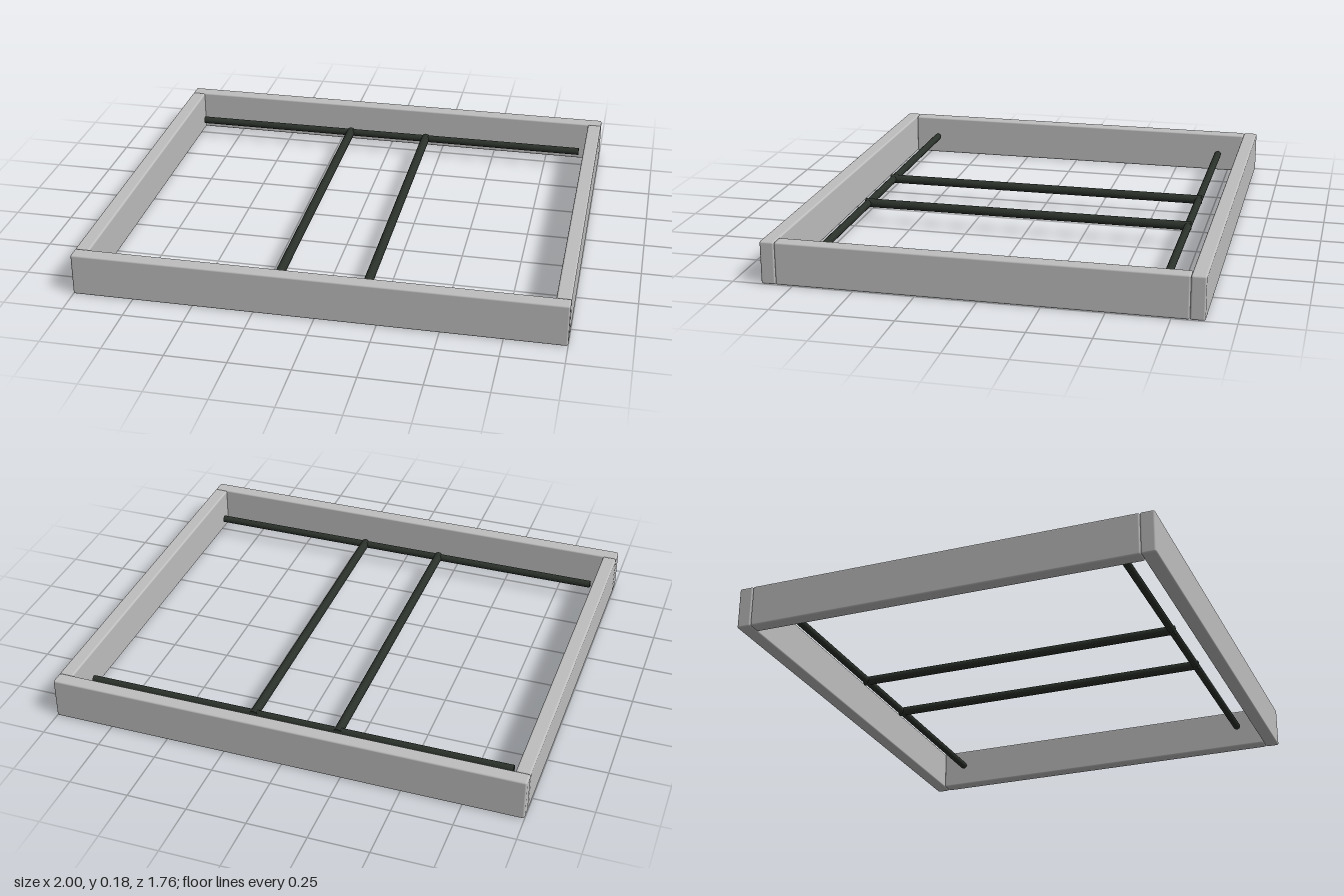
import * as THREE from 'three';
import { RoundedBoxGeometry } from 'three/addons/geometries/RoundedBoxGeometry.js';

export function createModel() {
  const group = new THREE.Group();
  group.name = 'bedFrame';
  const grey = new THREE.MeshStandardMaterial({ color: 0xbebebe });
  grey.name = 'light grey';
  const dark = new THREE.MeshStandardMaterial({ color: 0x2a302a });
  dark.name = 'dark green black';

  const H = 0.178, T = 0.06, Z = 0.88, MID = 0.088;

  function add(name, geometry, material, x, y, z) {
    const mesh = new THREE.Mesh(geometry, material);
    mesh.name = name;
    mesh.position.set(x, y, z);
    group.add(mesh);
    return mesh;
  }

  // Outer frame: full-width front and back beams, side beams between them
  const longBeam = new RoundedBoxGeometry(2, H, T, 2, 0.008);
  const sideBeam = new RoundedBoxGeometry(T, H, 2 * (Z - T), 2, 0.008);
  // Inner rods: two rails along x joined by two cross bars along z
  const rail = new THREE.CylinderGeometry(0.016, 0.016, 1.82, 16).rotateZ(Math.PI / 2);
  const bar = new THREE.CylinderGeometry(0.019, 0.019, 1.434, 16).rotateX(Math.PI / 2);

  for (const s of [1, -1]) {
    const end = s > 0 ? 'front' : 'back';
    const side = s > 0 ? 'left' : 'right';
    add(end + 'Beam', longBeam, grey, 0, H / 2, s * (Z - T / 2));
    add(side + 'Beam', sideBeam, grey, s * (1 - T / 2), H / 2, 0);
    add(end + 'Rail', rail, dark, 0, MID, s * 0.704);
    add(side + 'CrossBar', bar, dark, s * 0.182, MID, 0);
  }
  return group;
}
